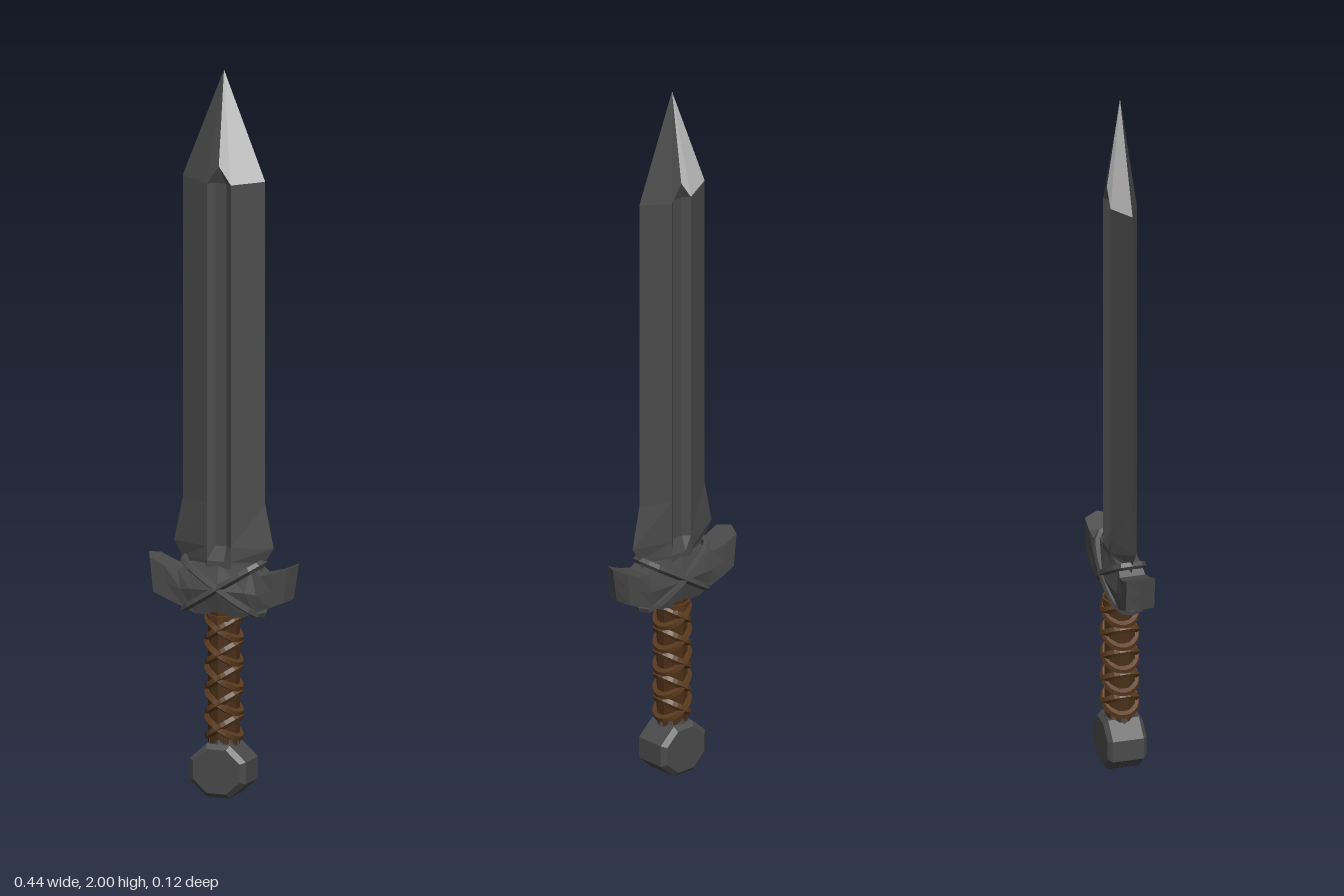
import * as THREE from 'three';

const mat = (name, color) => Object.assign(new THREE.MeshStandardMaterial({ color }), { name });

// Facet a geometry so every face is flat.
function faceted(geo) {
  const g = geo.index ? geo.toNonIndexed() : geo;
  g.computeVertexNormals();
  return g;
}

function fromTriangles(tris) {
  const g = new THREE.BufferGeometry();
  g.setAttribute('position', new THREE.Float32BufferAttribute(tris.flat(2), 3));
  return faceted(g);
}

// Triangles joining successive cross-section rings.
function loft(rings) {
  const tris = [];
  for (let k = 0; k + 1 < rings.length; k++) {
    const a = rings[k], b = rings[k + 1], n = a.length;
    for (let i = 0; i < n; i++) {
      const j = (i + 1) % n;
      tris.push([a[i], a[j], b[j]], [a[i], b[j], b[i]]);
    }
  }
  return tris;
}

// Closed cord tilted around the body; a pair of opposite tilts makes an X.
function cordGeometry(rx, rz, dy, radius, power) {
  const pts = [];
  for (let i = 0; i < 16; i++) {
    const a = (i / 16) * Math.PI * 2, s = Math.sin(a), c = Math.cos(a);
    pts.push(new THREE.Vector3(rx * c, dy * c, rz * Math.sign(s) * Math.abs(s) ** power));
  }
  return faceted(new THREE.TubeGeometry(new THREE.CatmullRomCurve3(pts, true), 24, radius, 5, true));
}

export function createModel() {
  const model = new THREE.Group();
  model.name = 'sword';
  const steel = mat('darkSteel', 0x4a4a4a);
  const bright = mat('brightSteel', 0xc8c8c8);
  const leather = mat('leather', 0x5a3a1e);
  const darkLeather = mat('darkLeather', 0x4a2f18);

  const add = (name, geo, material, y = 0, parent = model) => {
    const m = new THREE.Mesh(geo, material);
    m.name = name;
    m.position.y = y;
    parent.add(m);
    return m;
  };

  // Blade with a recessed fuller: [y, edge half-width, fuller depth z, edge y]
  const R = 0.035, T = 0.037, G = 0.016, D = 0.022;
  const bladeRings = [
    [0.58, 0.10, T, 0.58], [0.65, 0.12, T, 0.65], [0.69, 0.145, D, 0.69],
    [0.81, 0.12, D, 0.81], [1.69, 0.12, D, 1.70],
  ].map(([y, e, d, ey]) => [
    [e, ey, 0], [R, y, -T], [G, y, -d], [-G, y, -d], [-R, y, -T],
    [-e, ey, 0], [-R, y, T], [-G, y, d], [G, y, d], [R, y, T],
  ]);
  const bladeTris = loft(bladeRings), brightTris = [];

  // Point: four facets, two of them bright, plus the top end of the fuller
  for (const sx of [1, -1]) for (const sz of [1, -1]) {
    const p = (x, y, z) => [x * sx, y, z * sz];
    const tip = p(0, 2, 0), c = p(0, 1.74, T), r = p(R, 1.69, T);
    const e = p(0.12, 1.70, 0), g = p(G, 1.69, D), h = p(0, 1.69, D);
    const wind = (t) => (sx * sz > 0 ? t : [t[0], t[2], t[1]]);
    const target = sx * sz > 0 ? brightTris : bladeTris;
    target.push(wind([tip, c, r]), wind([tip, r, e]));
    bladeTris.push(wind([c, g, r]), wind([c, h, g]));
  }
  add('blade', fromTriangles(bladeTris), steel);
  add('bladeTipBright', fromTriangles(brightTris), bright);

  // Crossguard: [bottom x, top x, bottom y, top y, edge z, middle z]
  const half = [
    [0, 0, 0.50, 0.645, 0.035, 0.055],
    [0.07, 0.09, 0.50, 0.64, 0.032, 0.048],
    [0.10, 0.12, 0.515, 0.618, 0.036, 0.042],
    [0.15, 0.158, 0.535, 0.627, 0.04, 0.04],
    [0.19, 0.20, 0.552, 0.645, 0.04, 0.04],
    [0.203, 0.218, 0.556, 0.653, 0, 0],
  ];
  const mirrored = half.slice(1).reverse().map(([a, b, ...rest]) => [-a, -b, ...rest]);
  const guardRings = [...mirrored, ...half].map(([xb, xt, yb, yt, ze, zm]) => {
    const xm = (xb + xt) / 2, ym = (yb + yt) / 2;
    return [[xt, yt, ze], [xm, ym, zm], [xb, yb, ze], [xb, yb, -ze], [xm, ym, -zm], [xt, yt, -ze]];
  });
  add('crossguard', fromTriangles(loft(guardRings)), steel);

  // Crossed bands around the guard
  for (const s of [1, -1]) {
    add('guardBand', cordGeometry(0.112, 0.05, 0.07 * s, 0.011, 0.6), steel, 0.577);
  }

  // Grip core and its crossed leather cords
  const grip = new THREE.Group();
  grip.name = 'grip';
  model.add(grip);
  add('gripCore', faceted(new THREE.CylinderGeometry(0.043, 0.043, 0.37, 10)), darkLeather, 0.325, grip);
  add('gripCollar', faceted(new THREE.CylinderGeometry(0.05, 0.047, 0.025, 10)), leather, 0.488, grip);
  for (let i = 0; i < 5; i++) for (const s of [1, -1]) {
    add('gripCord', cordGeometry(0.043, 0.043, 0.028 * s, 0.011, 1), leather, 0.19 + i * 0.068, grip);
  }

  // Pommel: bevelled octagonal disc facing front, with a short neck
  add('pommelNeck', faceted(new THREE.CylinderGeometry(0.043, 0.046, 0.03, 8)), steel, 0.145);
  const profile = [[0, -0.055], [0.073, -0.055], [0.088, -0.043], [0.088, 0.043], [0.073, 0.055], [0, 0.055]]
    .map(([x, y]) => new THREE.Vector2(x, y));
  const pommel = new THREE.LatheGeometry(profile, 8);
  pommel.rotateY(Math.PI / 8).rotateX(Math.PI / 2).scale(1, 0.9, 1);
  add('pommel', faceted(pommel), steel, 0.0732);

  return model;
}
